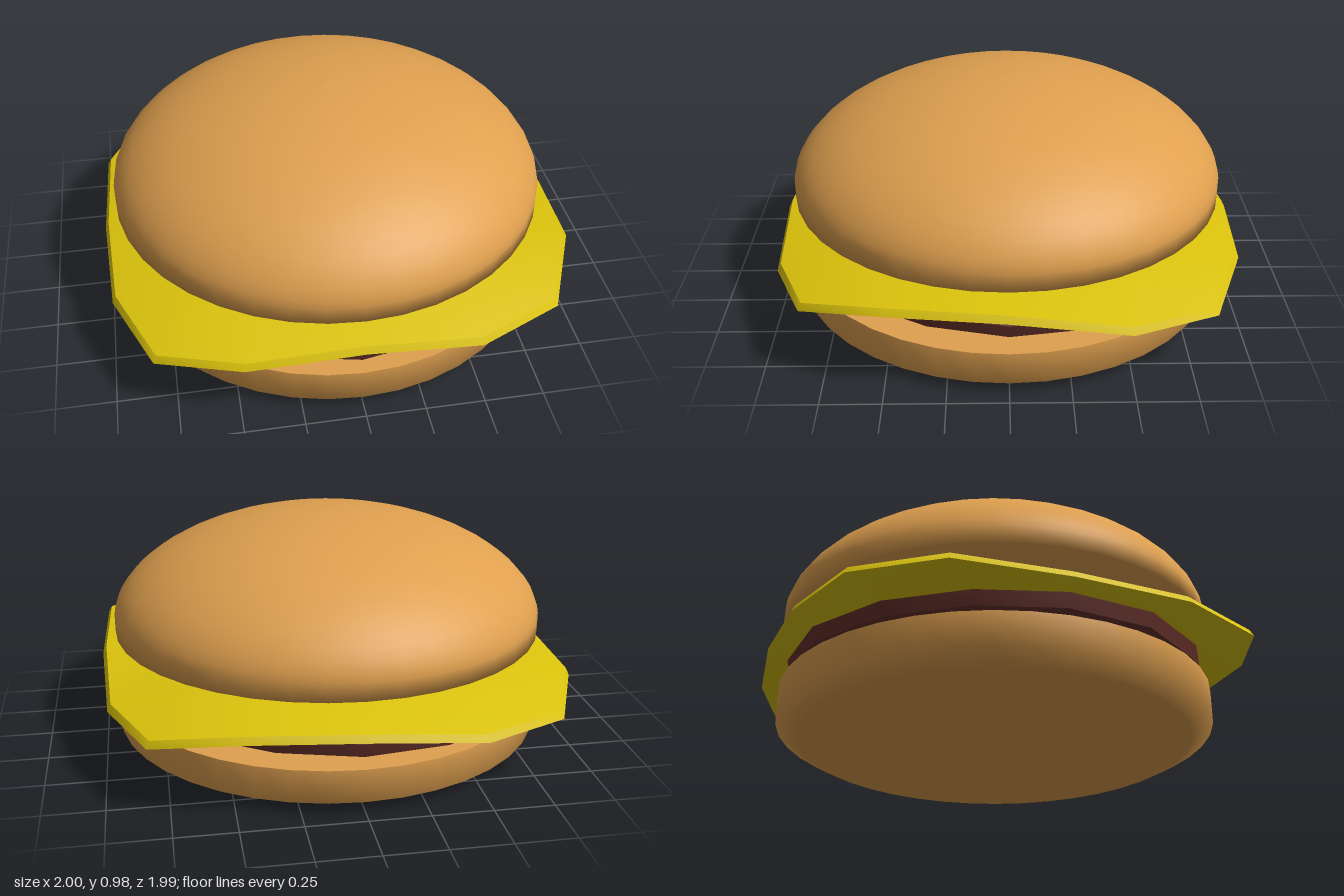
import * as THREE from 'three';
import { toCreasedNormals } from 'three/addons/utils/BufferGeometryUtils.js';

const mat = (color) => new THREE.MeshStandardMaterial({ color });

function addMesh(group, name, geometry, material) {
  const mesh = new THREE.Mesh(geometry, material);
  mesh.name = name;
  group.add(mesh);
}

const lathe = (points, sides) =>
  new THREE.LatheGeometry(points.map(([r, y]) => new THREE.Vector2(r, y)), sides);

// Drooping slice: rings of 16 points running from top centre to bottom centre
function cheeseGeometry() {
  const rim = [[1, 0], [0.98, 0.48], [0.83, 0.83], [0.48, 0.97], [0, 0.99], [-0.48, 0.97], [-0.83, 0.83], [-0.98, 0.48],
    [-1, 0], [-0.98, -0.48], [-0.83, -0.83], [-0.48, -0.97], [0, -1], [0.48, -0.97], [0.83, -0.83], [0.98, -0.48]];
  const droop = [0.37, 0.395, 0.325, 0.295, 0.345, 0.31, 0.275, 0.3,
    0.32, 0.33, 0.29, 0.28, 0.33, 0.345, 0.29, 0.3];
  const n = rim.length;
  // each ring: scale of the rim, blend towards the drooped height, lift
  const rings = [[0, 0, 0.03], [0.66, 0, 0.03], [0.985, 1, 0.03], [1, 1, 0], [0.66, 0, 0], [0, 0, 0]];
  const pos = [], index = [];
  for (const [s, blend, lift] of rings) {
    rim.forEach(([x, z], j) => pos.push(x * s, THREE.MathUtils.lerp(0.398, droop[j], blend) + lift, z * s));
  }
  for (let i = 0; i < rings.length - 1; i++) {
    for (let j = 0; j < n; j++) {
      const a = i * n + j, b = i * n + (j + 1) % n;
      if (i > 0) index.push(a, b, a + n);
      if (i < rings.length - 2) index.push(b, b + n, a + n);
    }
  }
  const g = new THREE.BufferGeometry();
  g.setAttribute('position', new THREE.Float32BufferAttribute(pos, 3));
  g.setIndex(index);
  return toCreasedNormals(g, 0.7);
}

// Patty: a lathe whose radius wobbles around its edge
function pattyGeometry() {
  const g = lathe([[0, 0.19], [0.82, 0.19], [0.9, 0.225], [0.915, 0.285], [0.78, 0.355], [0, 0.375]], 16);
  const p = g.attributes.position;
  for (let i = 0; i < p.count; i++) {
    const x = p.getX(i), z = p.getZ(i), a = Math.atan2(z, x);
    const k = 1 - 0.03 * Math.cos(a) + 0.015 * Math.cos(4 * a + 1.5);
    p.setX(i, x * k);
    p.setZ(i, z * k);
  }
  return toCreasedNormals(g, 0.9);
}

export function createModel() {
  const model = new THREE.Group();
  model.name = 'burger';
  const bun = mat(0xdfa04f);

  // Bottom bun: bevelled base, sharp top edge
  addMesh(model, 'bottomBun',
    lathe([[0, 0], [0.6, 0], [0.85, 0], [0.94, 0.05], [0.94, 0.19], [0.94, 0.19], [0, 0.19]], 40), bun);

  addMesh(model, 'patty', pattyGeometry(), mat(0x64302a));
  addMesh(model, 'cheese', cheeseGeometry(), mat(0xdcc40c));

  // Top bun: flat underside, short rim, rounded dome
  const profile = [[0, 0.43], [0.55, 0.43], [0.78, 0.432], [0.94, 0.475]];
  const steps = 14;
  for (let i = 0; i <= steps; i++) {
    const t = (i / steps) * Math.PI / 2;
    profile.push([0.94 * Math.cos(t), 0.55 + 0.43 * Math.pow(Math.sin(t), 1.15)]);
  }
  addMesh(model, 'topBun', lathe(profile, 40), bun);

  return model;
}
